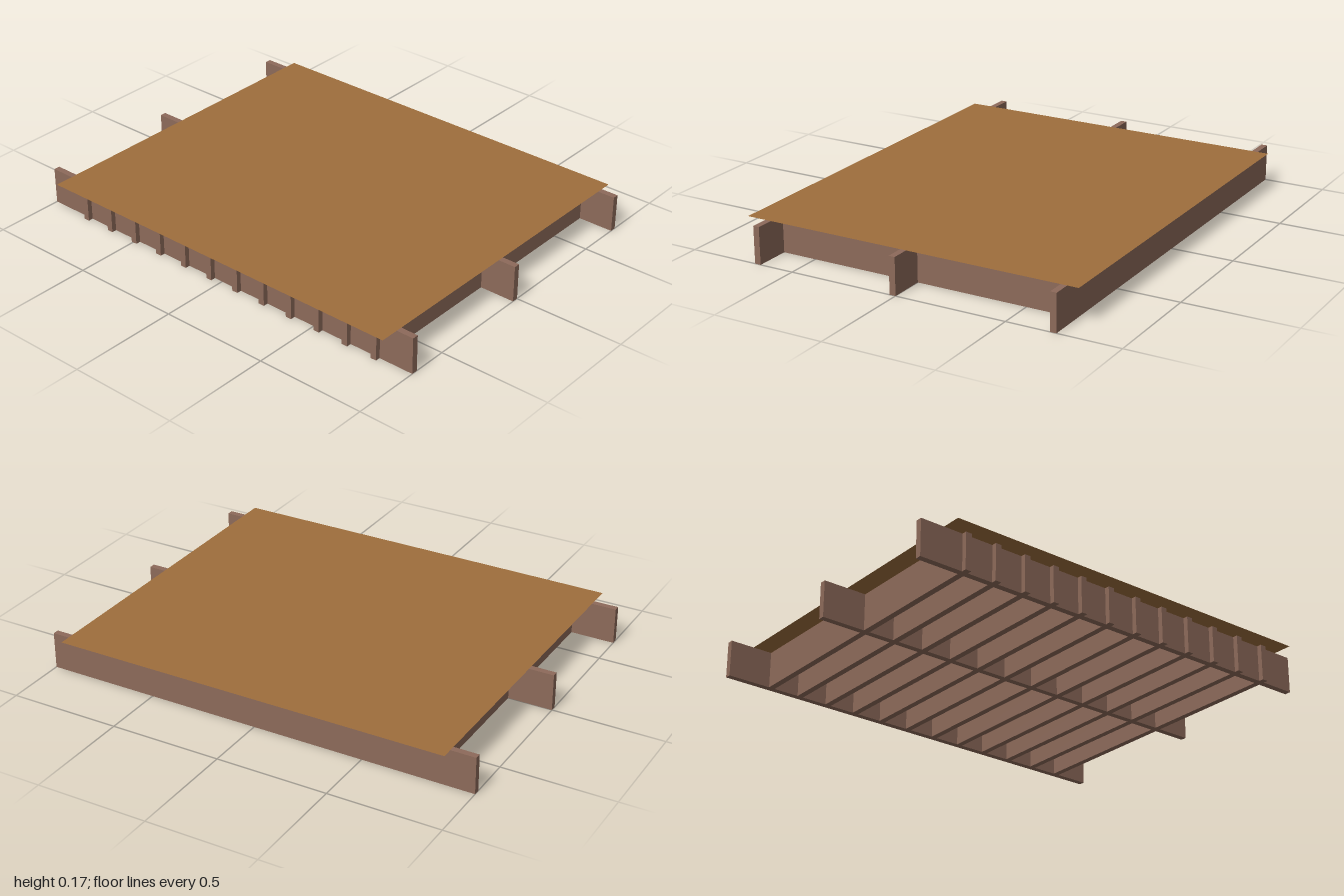
import * as THREE from 'three';

const HEIGHT = 0.165;
const THICK = 0.028;

export function createModel() {
  const model = new THREE.Group();
  model.name = 'deckFrame';

  const timber = new THREE.MeshStandardMaterial({ color: 0x8d6a5a });
  timber.name = 'timber brown';
  const board = new THREE.MeshStandardMaterial({ color: 0x9e6e3c, side: THREE.DoubleSide });
  board.name = 'board tan';

  const addBox = (name, w, d, x, z) => {
    const mesh = new THREE.Mesh(new THREE.BoxGeometry(w, HEIGHT, d), timber);
    mesh.name = name;
    mesh.position.set(x, HEIGHT / 2, z);
    model.add(mesh);
  };

  // Three long beams running across
  const beams = { backBeam: -0.708, middleBeam: 0.013, frontBeam: 0.672 };
  for (const [name, z] of Object.entries(beams)) addBox(name, 2, THICK, 0, z);

  // Twelve joists from the back beam to just past the front beam
  const back = -0.7, front = 0.708, count = 12;
  for (let i = 0; i < count; i++) {
    const x = -0.787 + i * 0.1465;
    addBox(`joist${i + 1}`, THICK, front - back, x, (front + back) / 2);
  }

  // Thin deck sheet lying on top of the frame
  const deck = new THREE.Mesh(new THREE.PlaneGeometry(1.81, 1.546), board);
  deck.name = 'deckSheet';
  deck.rotation.x = -Math.PI / 2;
  deck.position.set(0.016, HEIGHT + 0.001, 0);
  model.add(deck);

  return model;
}
